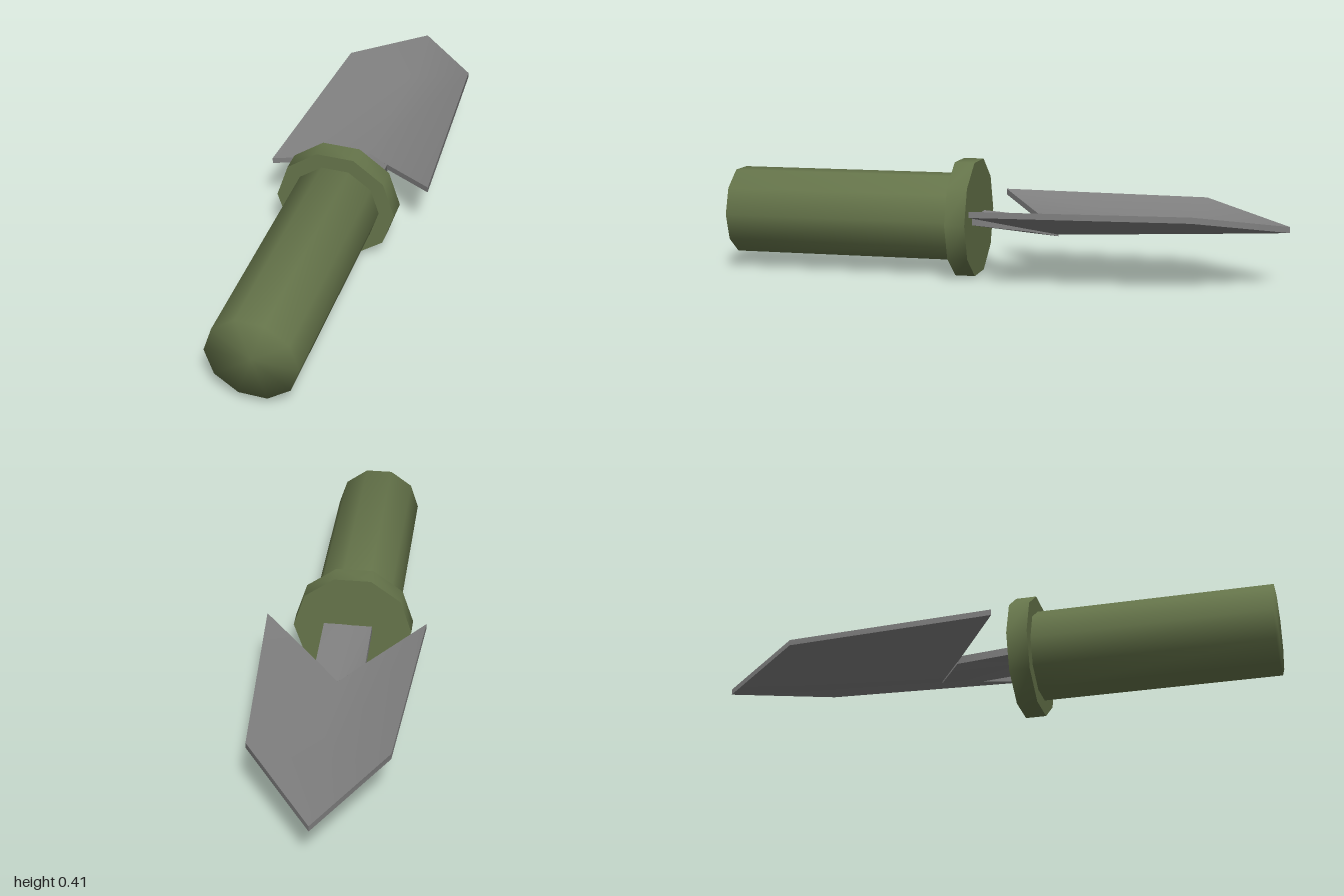
import * as THREE from 'three';
import { toCreasedNormals } from 'three/addons/utils/BufferGeometryUtils.js';

// Ten-sided solid turned around the z axis; profile is [radius, z] with rising z
function turned(profile) {
  const points = profile.map(([r, z]) => new THREE.Vector2(r, z));
  return new THREE.LatheGeometry(points, 10, Math.PI / 2).rotateX(Math.PI / 2);
}

// Folded plate: each row joins two mirrored edge points and a centre point,
// given as { edge: [x, y, z], mid: [x, y, z] } for the upper face
function foldedPlate(rows, thickness) {
  const positions = [];
  for (const { edge: [x, y, z], mid: [mx, my, mz] } of rows) {
    const shift = x === 0 ? mx : 0;
    const upper = [[shift - x, y, z], [mx, my, mz], [shift + x, y, z]];
    const lower = upper.map(([a, b, c]) => [a, b - thickness, c]).reverse();
    positions.push(...upper.flat(), ...lower.flat());
  }
  const index = [];
  for (let j = 0; j < rows.length - 1; j++) {
    for (let i = 0; i < 6; i++) {
      const k = (i + 1) % 6;
      const a = j * 6 + i, b = j * 6 + k;
      index.push(a, b, b + 6, a, b + 6, a + 6);
    }
  }
  // End faces
  const cap = [0, 5, 4, 0, 4, 1, 1, 4, 3, 1, 3, 2];
  const last = (rows.length - 1) * 6;
  index.push(...cap, ...cap.map((i) => i + last).reverse());
  const geometry = new THREE.BufferGeometry();
  geometry.setAttribute('position', new THREE.Float32BufferAttribute(positions, 3));
  geometry.setIndex(index);
  return toCreasedNormals(geometry, 0.9);
}

export function createModel() {
  const model = new THREE.Group();
  model.name = 'trowel';

  const green = new THREE.MeshStandardMaterial({ color: 0x65744a });
  green.name = 'olive green';
  const steel = new THREE.MeshStandardMaterial({ color: 0x808080 });
  steel.name = 'steel grey';

  const add = (name, geometry, material, x = 0, y = 0) => {
    const mesh = new THREE.Mesh(geometry, material);
    mesh.name = name;
    mesh.position.set(x, y, 0);
    model.add(mesh);
  };

  // Grip with softly shaded ends, and the wider collar
  add('handle', turned([[0, 0.165], [0.158, 0.165], [0.158, 1], [0, 1]]), green, -0.016, 0.204);
  add('collar', toCreasedNormals(
    turned([[0, 0.098], [0.213, 0.098], [0.213, 0.17], [0, 0.17]]), 0.8), green, -0.016, 0.204);

  // Flat tang that runs from the collar into the notch of the blade
  add('tang', foldedPlate([
    { edge: [0.087, 0.22, 0.12], mid: [0, 0.22, 0.12] },
    { edge: [0.087, 0.203, -0.115], mid: [0, 0.176, -0.195] },
  ], 0.028), steel);

  // Pointed blade, folded along its centre line, with swept-back shoulders
  add('blade', foldedPlate([
    { edge: [0.285, 0.27, 0.06], mid: [0, 0.175, -0.19] },
    { edge: [0.235, 0.27, -0.69], mid: [0, 0.197, -0.69] },
    { edge: [0, 0.21, -1], mid: [-0.012, 0.21, -1] },
  ], 0.021), steel);

  return model;
}
